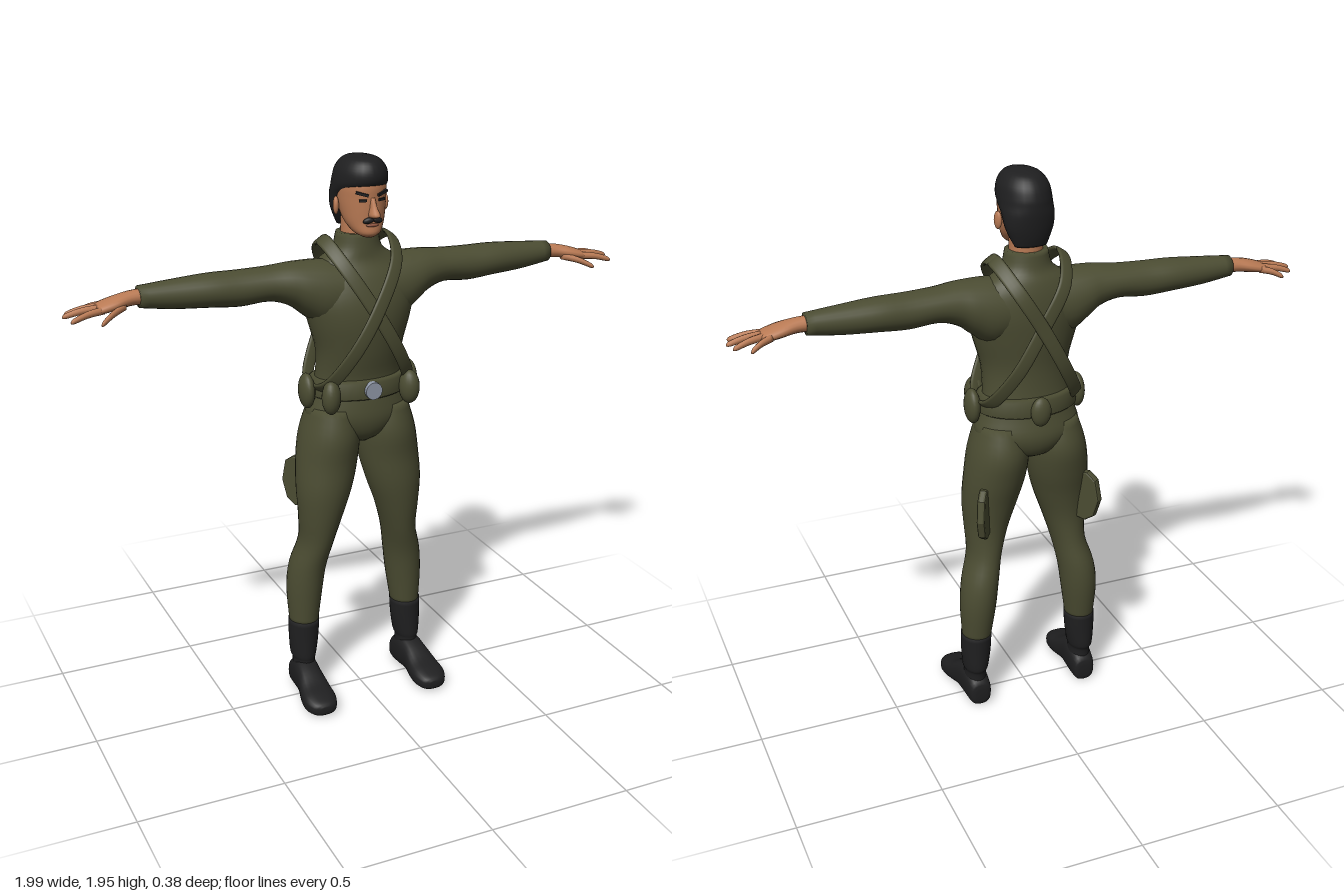
import * as THREE from 'three';

const V3 = (x, y, z) => new THREE.Vector3(x, y, z);
const mat = (name, color) => {
  const m = new THREE.MeshStandardMaterial({ color });
  m.name = name;
  return m;
};

// Skin a list of sections { c: centre, u: half axis, v: half axis } with rounded rings.
function skin(sections, n = 24, power = 1) {
  const pos = [], idx = [];
  const bend = (t) => Math.sign(t) * Math.abs(t) ** power;
  for (const { c, u, v } of sections) {
    for (let i = 0; i < n; i++) {
      const a = (i / n) * Math.PI * 2;
      const p = c.clone().addScaledVector(u, bend(Math.cos(a))).addScaledVector(v, bend(Math.sin(a)));
      pos.push(p.x, p.y, p.z);
    }
  }
  const last = sections.length - 1, m = Math.floor(last / 2);
  const travel = sections[m + 1].c.clone().sub(sections[m].c);
  const flip = sections[m].u.clone().cross(sections[m].v).dot(travel) < 0;
  const tri = (a, b, c) => (flip ? idx.push(a, c, b) : idx.push(a, b, c));
  for (let j = 0; j < last; j++) {
    for (let i = 0; i < n; i++) {
      const k = (i + 1) % n, a = j * n, b = a + n;
      tri(a + i, a + k, b + i);
      tri(a + k, b + k, b + i);
    }
  }
  // end caps
  const c0 = pos.length / 3, c1 = c0 + 1;
  pos.push(...sections[0].c.toArray(), ...sections[last].c.toArray());
  for (let i = 0; i < n; i++) {
    const k = (i + 1) % n;
    tri(c0, k, i);
    tri(c1, last * n + i, last * n + k);
  }
  const g = new THREE.BufferGeometry();
  g.setAttribute('position', new THREE.Float32BufferAttribute(pos, 3));
  g.setIndex(idx);
  g.computeVertexNormals();
  return g;
}

// Smooth the sections along their length.
function loft(sections, n, power, steps = 4) {
  const curve = (k) => new THREE.CatmullRomCurve3(sections.map((s) => s[k]), false, 'catmullrom', 0.5);
  const [c, u, v] = ['c', 'u', 'v'].map(curve);
  const total = (sections.length - 1) * steps, out = [];
  for (let i = 0; i <= total; i++) {
    const t = i / total;
    out.push({ c: c.getPoint(t), u: u.getPoint(t), v: v.getPoint(t) });
  }
  return skin(out, n, power);
}

// Upright section rows: [y, xMin, xMax, zFront, zBack]
const upright = (rows, s = 1) => rows.map(([y, a, b, f, k]) => ({
  c: V3((s * (a + b)) / 2, y, (f + k) / 2), u: V3((b - a) / 2, 0, 0), v: V3(0, 0, (f - k) / 2),
}));
// Centred upright rows: [y, halfWidth, zFront, zBack]
const centred = (rows) => upright(rows.map(([y, w, f, k]) => [y, -w, w, f, k]));
// Sideways rows: [x, y, z, halfHeight, halfDepth]
const sideways = (rows, s) => rows.map(([x, y, z, h, d]) => ({
  c: V3(s * x, y, z), u: V3(0, h, 0), v: V3(0, 0, d),
}));

export function createModel() {
  const root = new THREE.Group();
  const cloth = mat('olive cloth', 0x4b4c32);
  const flesh = mat('skin', 0xb97a54);
  const black = mat('black hair and leather', 0x1f1f20);
  const metal = mat('buckle metal', 0x8f97a6);
  const lip = mat('lips', 0x8d5440);

  const add = (name, geo, material, p = [0, 0, 0], r = [0, 0, 0]) => {
    const m = new THREE.Mesh(geo, material);
    m.name = name;
    m.position.set(...p);
    m.rotation.set(...r);
    root.add(m);
    return m;
  };
  const blob = (name, material, p, size, r) =>
    add(name, new THREE.SphereGeometry(1, 20, 14), material, p, r).scale.set(...size);

  // Torso with collar
  add('torso', loft(centred([
    [0.965, 0.03, 0.03, -0.08], [1.0, 0.12, 0.075, -0.135], [1.06, 0.185, 0.095, -0.155],
    [1.13, 0.172, 0.09, -0.14], [1.2, 0.155, 0.08, -0.125], [1.3, 0.155, 0.1, -0.12],
    [1.4, 0.182, 0.112, -0.13], [1.48, 0.2, 0.105, -0.135], [1.55, 0.185, 0.08, -0.13],
    [1.6, 0.14, 0.052, -0.118], [1.64, 0.088, 0.045, -0.1], [1.695, 0.072, 0.04, -0.09],
  ]), 32), cloth);

  // Neck and head
  add('neck', loft(centred([[1.65, 0.06, 0.03, -0.08], [1.7, 0.056, 0.035, -0.08], [1.76, 0.056, 0.03, -0.08]])), flesh);
  add('head', loft(centred([
    [1.693, 0.02, 0.088, 0.045], [1.708, 0.045, 0.102, 0.005], [1.74, 0.065, 0.1, -0.04],
    [1.78, 0.075, 0.102, -0.075], [1.82, 0.08, 0.103, -0.09], [1.86, 0.08, 0.104, -0.09],
    [1.9, 0.07, 0.09, -0.08], [1.93, 0.04, 0.05, -0.05],
  ]), 28), flesh);
  add('hair', loft(centred([
    [1.951, 0.015, 0.04, -0.02], [1.94, 0.055, 0.088, -0.07], [1.91, 0.08, 0.11, -0.1],
    [1.875, 0.088, 0.111, -0.113], [1.85, 0.089, 0.088, -0.115], [1.82, 0.088, 0.035, -0.114],
    [1.78, 0.083, 0.005, -0.108], [1.745, 0.07, -0.015, -0.1], [1.715, 0.055, -0.04, -0.09],
  ]), 28), black);
  add('nose', loft(centred([
    [1.825, 0.008, 0.108, 0.08], [1.795, 0.011, 0.126, 0.08], [1.772, 0.017, 0.145, 0.08], [1.762, 0.014, 0.128, 0.08],
  ]), 12), flesh);
  blob('mouth', lip, [0, 1.735, 0.097], [0.022, 0.006, 0.008]);

  // Straps crossing on the chest and back
  const strap = (s, lift) => {
    const path = new THREE.CatmullRomCurve3([
      [-0.122, 1.672, -0.035], [-0.095, 1.61, 0.072], [0, 1.45, 0.133], [0.09, 1.3, 0.122], [0.155, 1.19, 0.05],
      [0.16, 1.18, -0.07], [0.09, 1.3, -0.155], [0, 1.46, -0.172], [-0.085, 1.6, -0.15],
    ].map(([x, y, z]) => V3(s * x, y, z + Math.sign(z) * lift)), true);
    const list = [];
    for (let i = 0; i <= 72; i++) {
      const c = path.getPoint(i / 72), t = path.getTangent(i / 72);
      const n = c.clone().sub(V3(0, 1.42, -0.02)).multiply(V3(0.5, 0.35, 1.5));
      n.addScaledVector(t, -n.dot(t)).normalize();
      list.push({ c, u: t.clone().cross(n).multiplyScalar(0.024), v: n.multiplyScalar(0.007) });
    }
    return skin(list, 12, 0.6);
  };
  add('leftStrap', strap(-1, 0.01), cloth);
  add('rightStrap', strap(1, 0), cloth);

  // Belt, buckle and back pouch
  add('belt', skin(centred([
    [1.138, 0.168, 0.098, -0.142], [1.146, 0.18, 0.108, -0.152],
    [1.196, 0.174, 0.104, -0.148], [1.204, 0.162, 0.094, -0.138],
  ]), 36), cloth);
  add('buckle', new THREE.CylinderGeometry(0.03, 0.03, 0.02, 20), metal, [0, 1.173, 0.108], [Math.PI / 2, 0, 0]);
  blob('backPouch', cloth, [0, 1.165, -0.158], [0.036, 0.052, 0.024]);

  for (const s of [1, -1]) {
    const side = s > 0 ? 'left' : 'right';

    // Sleeve
    add(side + 'Sleeve', loft(sideways([
      [0.07, 1.5, -0.02, 0.105, 0.1], [0.14, 1.5, -0.022, 0.112, 0.1], [0.2, 1.52, -0.024, 0.092, 0.092],
      [0.25, 1.538, -0.026, 0.072, 0.08], [0.32, 1.545, -0.032, 0.058, 0.07], [0.42, 1.54, -0.036, 0.06, 0.065],
      [0.52, 1.543, -0.04, 0.056, 0.064], [0.64, 1.543, -0.043, 0.048, 0.05], [0.75, 1.546, -0.045, 0.036, 0.037],
    ], s), 24), cloth);

    // Hand with spread fingers
    add(side + 'Palm', loft(sideways([
      [0.73, 1.547, -0.045, 0.026, 0.028], [0.78, 1.545, -0.043, 0.024, 0.032],
      [0.83, 1.536, -0.04, 0.022, 0.045], [0.88, 1.525, -0.04, 0.017, 0.045], [0.895, 1.521, -0.04, 0.009, 0.032],
    ], s), 16), flesh);
    const fingers = [
      [0.86, 1.527, -0.073, 0.935, 1.5, -0.108], [0.87, 1.527, -0.052, 0.983, 1.505, -0.075],
      [0.87, 1.527, -0.032, 0.997, 1.508, -0.038], [0.87, 1.524, -0.012, 0.983, 1.503, 0.018],
      [0.8, 1.528, -0.018, 0.895, 1.492, 0.048],
    ];
    fingers.forEach(([x0, y0, z0, x1, y1, z1], i) => {
      const at = (t, r) => [x0 + (x1 - x0) * t, y0 + (y1 - y0) * t + 0.006 * Math.sin(t * 3), z0 + (z1 - z0) * t, r, r];
      add(side + (i < 4 ? 'Finger' : 'Thumb'), loft(sideways(
        [at(0, 0.013), at(0.5, 0.0115), at(0.9, 0.009), at(1, 0.003)], s), 10), flesh);
    });

    // Trouser leg
    add(side + 'Leg', loft(upright([
      [1.1, 0.02, 0.178, 0.08, -0.13], [1.0, 0.002, 0.209, 0.098, -0.155], [0.9, 0.01, 0.225, 0.09, -0.14],
      [0.8, 0.035, 0.231, 0.088, -0.115], [0.7, 0.07, 0.225, 0.075, -0.1], [0.6, 0.1, 0.222, 0.055, -0.105],
      [0.5, 0.12, 0.25, 0.032, -0.125], [0.4, 0.133, 0.26, 0.02, -0.125], [0.26, 0.153, 0.253, 0.008, -0.103],
    ], s), 28), cloth);

    // Boot shaft and foot
    add(side + 'BootShaft', loft(upright([
      [0.285, 0.148, 0.258, 0.015, -0.108], [0.22, 0.152, 0.258, 0.014, -0.107], [0.15, 0.163, 0.253, 0.015, -0.106],
      [0.125, 0.17, 0.246, 0.012, -0.095], [0.06, 0.165, 0.25, 0.02, -0.095],
    ], s), 24), black);
    const foot = [ // z, centre x, bottom, top, half width
      [-0.108, 0.206, 0.02, 0.07, 0.022], [-0.095, 0.207, 0.002, 0.1, 0.04], [-0.03, 0.209, 0.002, 0.132, 0.046],
      [0.03, 0.213, 0.008, 0.118, 0.048], [0.09, 0.216, 0.002, 0.086, 0.058], [0.14, 0.218, 0.001, 0.07, 0.06],
      [0.178, 0.217, 0.005, 0.055, 0.044], [0.192, 0.216, 0.015, 0.042, 0.018],
    ].map(([z, x, b, t, w]) => ({ c: V3(s * x, (b + t) / 2, z), u: V3(w, 0, 0), v: V3(0, (t - b) / 2, 0) }));
    add(side + 'Foot', loft(foot, 24, 0.75), black);

    // Flat gear plate standing out behind the thigh
    const outline = new THREE.Shape([[0, 0.885], [0.05, 0.89], [0.085, 0.865], [0.1, 0.79], [0.08, 0.725], [0.045, 0.7], [0, 0.705]]
      .map(([x, y]) => new THREE.Vector2(x, y)));
    const plate = new THREE.ExtrudeGeometry(outline, {
      depth: 0.012, bevelEnabled: true, bevelThickness: 0.008, bevelSize: 0.006, bevelOffset: -0.006, bevelSegments: 2,
    }).translate(0, 0, -0.006);
    add(side + 'ThighPlate', plate, cloth, [s * 0.17, 0, -0.08], [0, s > 0 ? 1 : Math.PI - 1, 0]);

    // Belt pouches
    blob(side + 'FrontPouch', cloth, [s * 0.145, 1.162, 0.088], [0.033, 0.06, 0.038], [0, s * 0.5, 0]);
    blob(side + 'SidePouch', cloth, [s * 0.192, 1.162, -0.015], [0.026, 0.062, 0.046]);

    // Ear, brow, eye and moustache half
    blob(side + 'Ear', flesh, [s * 0.087, 1.79, 0.002], [0.01, 0.03, 0.017], [0, s * 0.3, 0]);
    add(side + 'Brow', new THREE.BoxGeometry(0.042, 0.009, 0.009), black, [s * 0.036, 1.838, 0.097], [0, s * 0.4, s * 0.25]);
    add(side + 'Eye', new THREE.BoxGeometry(0.026, 0.008, 0.008), black, [s * 0.033, 1.817, 0.096], [0, s * 0.4, 0]);
    blob(side + 'Moustache', black, [s * 0.016, 1.752, 0.102], [0.019, 0.01, 0.009], [0, s * 0.2, s * -0.25]);
  }
  return root;
}
